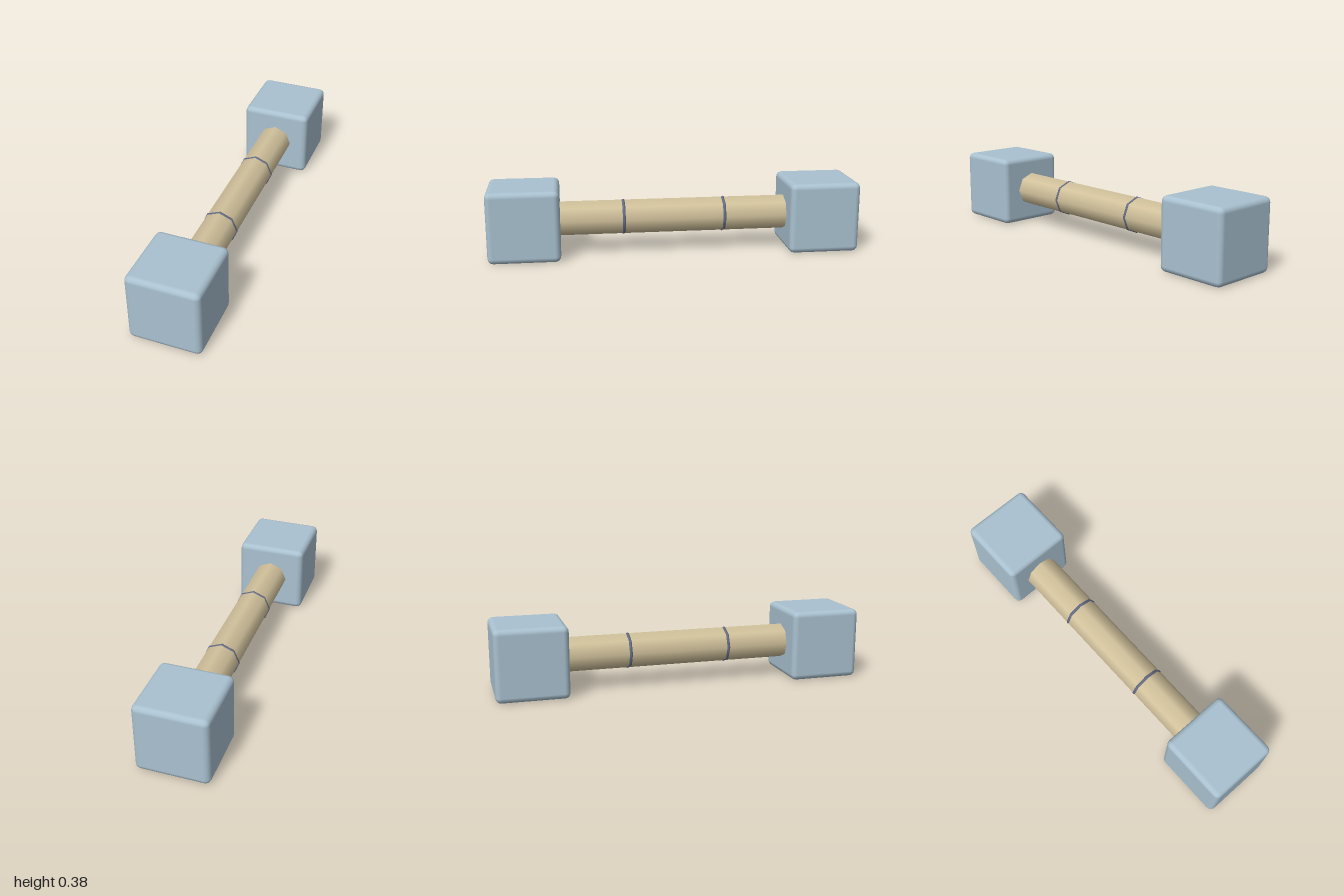
import * as THREE from 'three';
import { RoundedBoxGeometry } from 'three/addons/geometries/RoundedBoxGeometry.js';

const SIZE = 0.384;        // edge of each end block
const MID = SIZE / 2;      // height of the shaft axis

function material(name, color) {
  const m = new THREE.MeshStandardMaterial({ color });
  m.name = name;
  return m;
}

export function createModel() {
  const group = new THREE.Group();
  group.name = 'doubleEndedMallet';

  const paleBlue = material('paleBlue', 0xa9c1d0);
  const sand = material('sand', 0xd2c29c);
  const slate = material('slate', 0x686f88);

  const add = (name, geometry, mat, z) => {
    const mesh = new THREE.Mesh(geometry, mat);
    mesh.name = name;
    mesh.position.set(0, MID, z);
    group.add(mesh);
  };

  // Eight-sided, smooth-shaded shaft running along z into both blocks
  const shaft = new THREE.CylinderGeometry(0.095, 0.095, 1.3, 8);
  shaft.rotateX(Math.PI / 2);
  add('shaft', shaft, sand, 0);

  // Rounded end blocks and thin bands, mirrored front and back
  const block = new RoundedBoxGeometry(SIZE, SIZE, SIZE, 2, 0.03);
  const band = new THREE.TorusGeometry(0.089, 0.0105, 6, 8);
  for (const [side, s] of [['front', 1], ['back', -1]]) {
    add(side + 'Block', block, paleBlue, s * (1 - SIZE / 2));
    add(side + 'Band', band, slate, s * 0.274);
  }

  return group;
}
